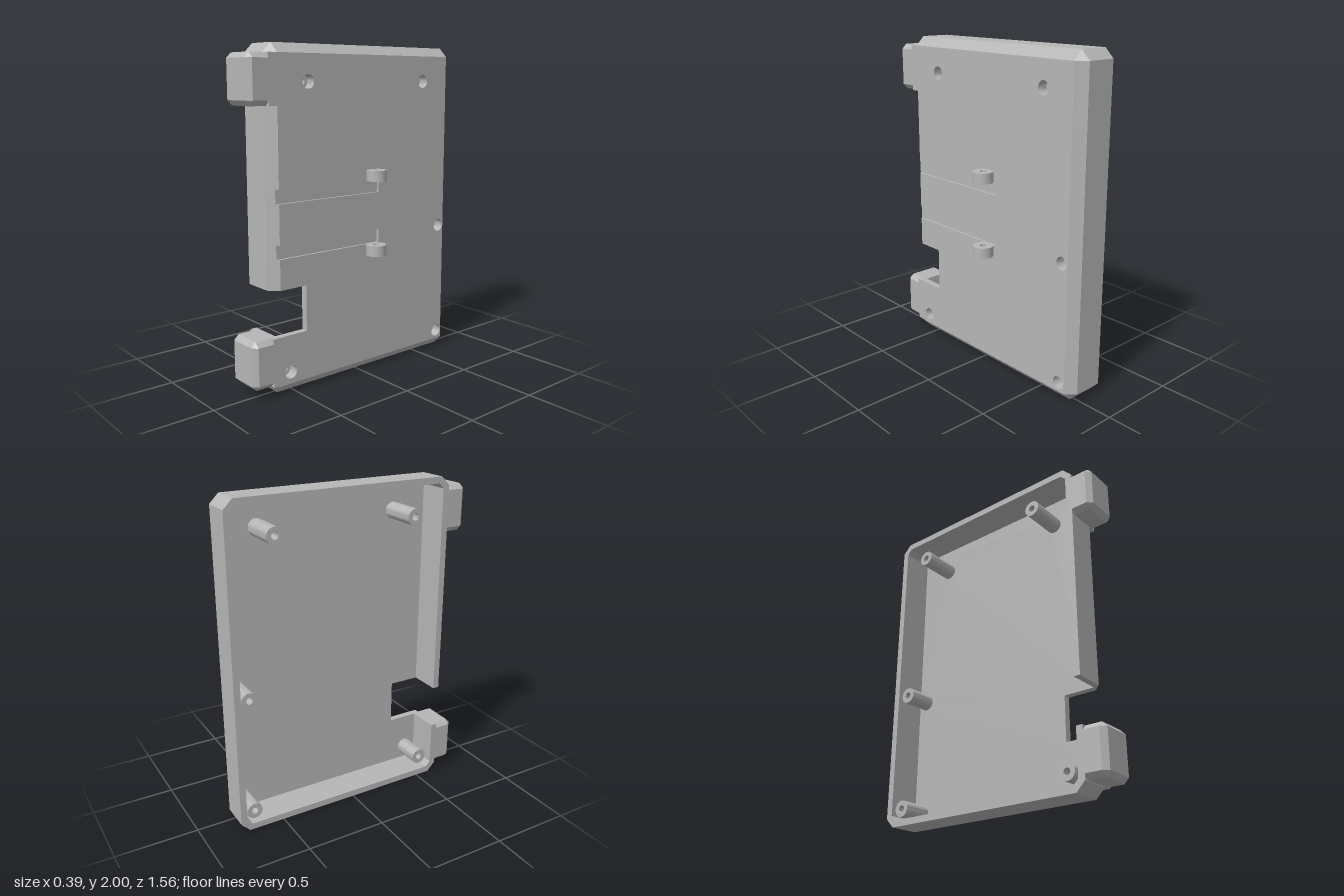
import * as THREE from 'three';
import { toCreasedNormals } from 'three/addons/utils/BufferGeometryUtils.js';
import { ConvexGeometry } from 'three/addons/geometries/ConvexGeometry.js';

const grey = new THREE.MeshStandardMaterial({ color: 0xb6b6b6 });
grey.name = 'grey plastic';

// Main levels: x runs through the thickness, the cover lies in the z-y plane
const RIM = -0.16, SHOULDER = 0.025, FACE = 0.08, INNER = 0.037, GROOVE = 0.065;
const Z0 = -0.78, Z1 = 0.65, H = 2, C = 0.055, T = 0.04, K = T * 0.414;
const SLOTS = [[1.12, 1.2], [0.805, 0.885]];
const GAP = { low: 0.35, high: 0.625, z: 0.415 };
// Screw posts: z, y, end x
const POSTS = [
  [0.385, 1.79, -0.2], [-0.515, 1.79, -0.2],
  [-0.68, 0.845, -0.14], [-0.68, 0.11, -0.14], [0.53, 0.125, -0.14],
];

// One layer of the face plate, extruded along x
function plateLayer(x0, x1, grooved) {
  const f = -(Z1 - C), b = -(Z0 + C);
  const pts = [[f, C], [b, C], [b, H - C], [f, H - C]];
  if (grooved) {
    for (const [lo, hi] of SLOTS) pts.push([f, hi], [0.145, hi], [0.145, lo], [f, lo]);
  }
  pts.push([f, GAP.high], [-GAP.z, GAP.high], [-GAP.z, GAP.low], [f, GAP.low]);
  const shape = new THREE.Shape(pts.map((p) => new THREE.Vector2(...p)));
  for (const [z, y] of POSTS) {
    shape.holes.push(new THREE.Path().absarc(-z, y, 0.04, 0, Math.PI * 2, true));
  }
  const geo = new THREE.ExtrudeGeometry(shape, { depth: x1 - x0, bevelEnabled: false, curveSegments: 24 });
  return geo.rotateY(Math.PI / 2).translate(x0, 0, 0);
}

// Wall with bevelled outer edge, swept round the cover from one side of the gap to the other
function wallGeometry() {
  const sections = [];
  const add = (o, i, f, cut) => {
    const d = cut ? [GROOVE, f[1], f[0] + FACE - GROOVE] : [FACE, f[1], f[0]];
    sections.push([
      [RIM, i[1], i[0]], [RIM, o[1], o[0]], [SHOULDER, o[1], o[0]],
      d, [d[0], f[1], f[0]], [INNER, f[1], f[0]], [INNER, i[1], i[0]],
    ]);
  };
  const front = (y, cut) => add([Z1, y], [Z1 - T, y], [Z1 - C, y], cut);
  front(GAP.low);
  // Four cut corners, two sections each
  const corner = (z, y, sz, sy, zFirst) => {
    const f = [z - sz * C, y - sy * C];
    const side = () => add([z, f[1]], [z - sz * T, f[1] - sy * K], f);
    const end = () => add([f[0], y], [f[0] - sz * K, y - sy * T], f);
    if (zFirst) { side(); end(); } else { end(); side(); }
  };
  corner(Z1, 0, 1, -1, true);
  corner(Z0, 0, -1, -1, false);
  corner(Z0, H, -1, 1, true);
  corner(Z1, H, 1, 1, false);
  for (const [lo, hi] of SLOTS) {
    front(hi); front(hi, true); front(lo, true); front(lo);
  }
  front(GAP.high);

  const pos = [];
  const tri = (a, b, c) => pos.push(...a, ...b, ...c);
  for (let s = 0; s < sections.length - 1; s++) {
    const p = sections[s], q = sections[s + 1];
    for (let j = 0; j < 7; j++) {
      const k = (j + 1) % 7;
      tri(p[j], q[j], q[k]);
      tri(p[j], q[k], p[k]);
    }
  }
  const first = sections[0], last = sections[sections.length - 1];
  for (let j = 0; j < 5; j++) {
    tri(first[6], first[j], first[j + 1]);
    tri(last[6], last[j + 1], last[j]);
  }
  const geo = new THREE.BufferGeometry();
  geo.setAttribute('position', new THREE.Float32BufferAttribute(pos, 3));
  geo.computeVertexNormals();
  return geo;
}

// Block with bevelled sides and front, square where it joins the wall
function tabGeometry(y0, y1) {
  const b = 0.03, zf = 0.78, pts = [];
  for (const [x, sx] of [[RIM, 1], [FACE, -1]]) {
    for (const [y, sy] of [[y0, 1], [y1, -1]]) {
      for (const z of [Z1 - 0.01, zf - b]) {
        pts.push(new THREE.Vector3(x, y + sy * b, z), new THREE.Vector3(x + sx * b, y, z));
      }
      pts.push(new THREE.Vector3(x + sx * b, y + sy * b, zf));
    }
  }
  return new ConvexGeometry(pts);
}

// Closed turned part from [radius, height] points
function turned(points) {
  const closed = [...points, points[0]].map((p) => new THREE.Vector2(...p));
  return toCreasedNormals(new THREE.LatheGeometry(closed, 32), 0.6);
}

export function createModel() {
  const model = new THREE.Group();
  model.name = 'enclosureCover';
  const add = (name, geo, x = 0, y = 0, z = 0) => {
    const mesh = new THREE.Mesh(geo, grey);
    mesh.name = name;
    mesh.position.set(x, y, z);
    model.add(mesh);
  };
  const box = (name, x0, x1, y0, y1, z0, z1) => add(name,
    new THREE.BoxGeometry(x1 - x0, y1 - y0, z1 - z0), (x0 + x1) / 2, (y0 + y1) / 2, (z0 + z1) / 2);

  // Shell
  add('facePlateBase', plateLayer(INNER, GROOVE, false));
  add('facePlateGrooved', plateLayer(GROOVE, FACE, true));
  add('bevelledWall', wallGeometry());

  // Front tabs and the square blocks behind them
  for (const [name, y0, y1] of [['lower', 0.06, GAP.low], ['upper', 1.66, 1.945]]) {
    add(name + 'Tab', tabGeometry(y0, y1));
    box(name + 'TabRoot', RIM, FACE, y0, y1, Z1 - T, Z1);
    box(name + 'TabPlate', INNER, FACE, y0, y1, Z1 - C, Z1 - T);
  }

  // Counterbored screw posts
  for (const [z, y, end] of POSTS) {
    const geo = turned([[0.05, end], [0.05, 0.05], [0.04, 0.05], [0.04, 0.015], [0.021, 0.015], [0.021, end]]);
    add('screwPost', geo.rotateZ(-Math.PI / 2), 0, y, z);
  }

  // Hinge eyes beside the grooves
  for (const [y0, y1] of [[0.74, 0.805], [1.2, 1.265]]) {
    add('hingeEye', turned([[0.062, y0], [0.062, y1], [0.021, y1], [0.021, y0]]), 0.128, 0, -0.085);
  }
  return model;
}
